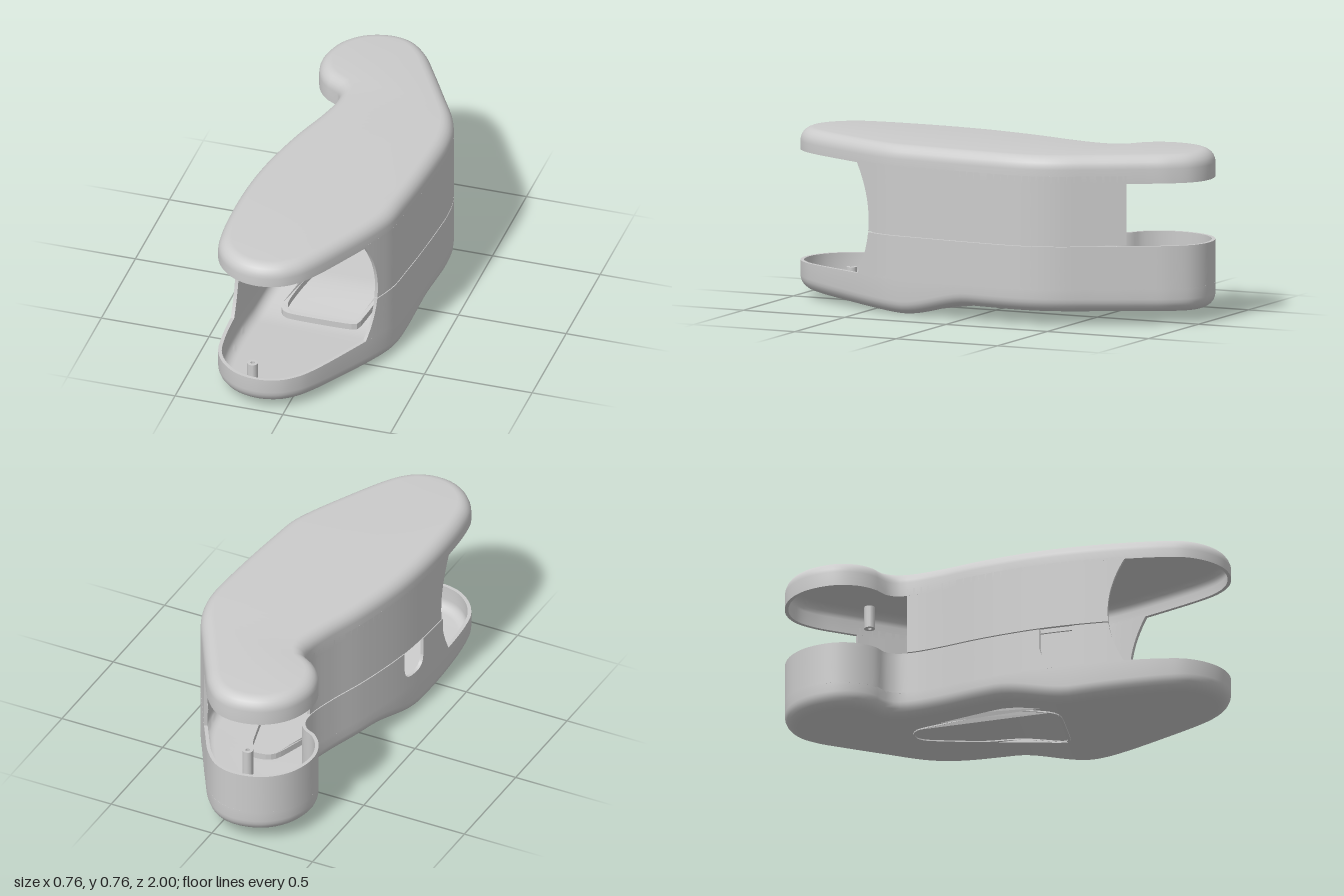
import * as THREE from 'three';
import { toCreasedNormals } from 'three/addons/utils/BufferGeometryUtils.js';

const T = 0.016; // wall thickness
const material = new THREE.MeshStandardMaterial({ color: 0xcccccc });

// Plan outline (x, z): front tip, left side, round tail, notch, right side
const PLAN = [
  [-0.12, 1], [-0.02, 0.975], [0.05, 0.92], [0.1, 0.85], [0.2, 0.66], [0.285, 0.48], [0.32, 0.38],
  [0.337, 0.25], [0.355, 0.08], [0.37, -0.12], [0.375, -0.24], [0.365, -0.35], [0.33, -0.46],
  [0.24, -0.62], [0.14, -0.79], [0.07, -0.9], [-0.01, -0.975], [-0.11, -1], [-0.24, -0.965],
  [-0.33, -0.875], [-0.368, -0.74], [-0.345, -0.635], [-0.29, -0.565], [-0.235, -0.535],
  [-0.207, -0.49], [-0.205, -0.42], [-0.235, -0.29], [-0.295, -0.1], [-0.35, 0.14], [-0.374, 0.34],
  [-0.38, 0.55], [-0.37, 0.74], [-0.35, 0.84], [-0.3, 0.92], [-0.22, 0.98]];
const outline = new THREE.CatmullRomCurve3(PLAN.map(([x, z]) => new THREE.Vector3(x, 0, z)), true);
const M = 2000;
const samples = outline.getSpacedPoints(M);
const tail = samples.reduce((best, p, i) => (p.z < samples[best].z ? i : best), 0) / M;

// Outline point at fraction u, moved inwards and set to height y
function at(u, inset, y) {
  const f = (((u % 1) + 1) % 1) * M, i = Math.floor(f);
  const p = samples[i].clone().lerp(samples[i + 1], f - i);
  const a = samples[(i + M - 6) % M], b = samples[(i + 7) % M];
  const len = Math.hypot(b.x - a.x, b.z - a.z);
  return [p.x + (b.z - a.z) / len * inset, y, p.z - (b.x - a.x) / len * inset];
}

// Outline fraction at depth z, on the left (+x) or right (-x) side
function uAt(left, z) {
  let near = left ? 0 : 1, far = tail;
  for (let i = 0; i < 30; i++) {
    const mid = (near + far) / 2;
    if (at(mid, 0, 0)[2] > z) near = mid; else far = mid;
  }
  return (near + far) / 2;
}

const underside = (z) => z > 0.32
  ? 0.003 + (z - 0.32) * 0.055
  : 0.003 + 0.062 * (1 - THREE.MathUtils.smoothstep(z, -0.04, 0.32)) - Math.max(0, -z) * 0.01;
const mouthZ = (y) => 0.49 + 0.075 * ((y - 0.41) / 0.25) ** 2; // curved front edge of the walls

function mesh(name, geometry) {
  const m = new THREE.Mesh(geometry, material);
  m.name = name;
  return m;
}

function quadMesh(name, quads, flip) {
  const pos = [];
  for (const [a, b, c, d] of quads) {
    if (flip) pos.push(...a, ...c, ...b, ...a, ...d, ...c);
    else pos.push(...a, ...b, ...c, ...a, ...c, ...d);
  }
  const g = new THREE.BufferGeometry();
  g.setAttribute('position', new THREE.Float32BufferAttribute(pos, 3));
  return mesh(name, toCreasedNormals(g, 0.6));
}

// Hollow tray with a rounded edge; dir is +1 when it opens upwards
function tray(name, baseY, rimY, dir, radius) {
  const n = 90, us = [];
  for (let k = 0; k <= n; k++) us.push(k === 0 ? 0 : k === n ? tail : uAt(true, Math.cos(Math.PI * k / n)));
  for (let k = n - 1; k > 0; k--) us.push(uAt(false, Math.cos(Math.PI * k / n)));
  const rows = [], steps = 6;
  const arc = (inset, r, i) => {
    const a = i / steps * Math.PI / 2;
    const d = inset + r * (1 - Math.sin(a)), h = inset + r * (1 - Math.cos(a));
    return us.map((u) => {
      const p = at(u, d, 0);
      p[1] = baseY(p[2]) + dir * h;
      return p;
    });
  };
  for (let i = 0; i <= steps; i++) rows.push(arc(0, radius, i));
  for (const d of [0, T]) rows.push(us.map((u) => {
    const p = at(u, d, 0);
    p[1] = rimY(p[2]);
    return p;
  }));
  for (let i = steps; i >= 0; i--) rows.push(arc(T, radius - T, i));
  const quads = [], N = us.length;
  for (let i = 0; i < rows.length - 1; i++) for (let j = 0; j < N; j++) {
    const k = (j + 1) % N;
    quads.push([rows[i][j], rows[i][k], rows[i + 1][k], rows[i + 1][j]]);
  }
  // plate outside and inside, bridged from side to side
  const outer = rows[0], inner = rows[rows.length - 1];
  for (let k = 0; k < n; k++) {
    const l = (N - k) % N, m = N - k - 1;
    quads.push([outer[l], outer[m], outer[k + 1], outer[k]]);
    quads.push([inner[k], inner[k + 1], inner[m], inner[l]]);
  }
  return quadMesh(name, quads, dir < 0);
}

// Upright wall along the outline, from uA(y) to uB(y)
function wall(name, uA, uB, yLow, yTop, cols, inset = 0, thick = T) {
  const rowsN = 12, grid = [], quads = [];
  for (let j = 0; j <= cols; j++) {
    const t = j / cols, out = [], inn = [];
    for (let i = 0; i <= rowsN; i++) {
      const y = THREE.MathUtils.lerp(yLow, yTop(t), i / rowsN);
      const u = THREE.MathUtils.lerp(uA(y), uB(y), t);
      out.push(at(u, inset, y));
      inn.push(at(u, inset + thick, y));
    }
    grid.push([...out, ...inn.reverse()]);
  }
  const L = 2 * rowsN + 2;
  for (let j = 0; j < cols; j++) for (let i = 0; i < L; i++) {
    const k = (i + 1) % L;
    quads.push([grid[j][i], grid[j + 1][i], grid[j + 1][k], grid[j][k]]);
  }
  for (let i = 0; i < rowsN; i++) {
    const [a, b] = [grid[0], grid[cols]];
    quads.push([a[L - 1 - i], a[i], a[i + 1], a[L - 2 - i]]);
    quads.push([b[i], b[L - 1 - i], b[L - 2 - i], b[i + 1]]);
  }
  return quadMesh(name, quads);
}

// Ring around the hatch, draped along the underside
const HATCH = [[0.11, 0.2], [0.08, 0.25], [-0.17, 0.25], [-0.21, 0.21], [-0.19, 0.1], [-0.05, -0.38],
  [-0.01, -0.44], [0.05, -0.45], [0.09, -0.4], [0.15, -0.16], [0.15, 0]];
function hatchRing(name, grow, width, y0, y1) {
  const loop = (g) => new THREE.CatmullRomCurve3(HATCH.map(([x, z]) =>
    new THREE.Vector3(-0.01 + (x + 0.01) * (1 + g * 6), -0.1 + (z + 0.1) * (1 + g * 3), 0)), true, 'catmullrom', 0.3)
    .getSpacedPoints(80).slice(0, -1).map((p) => new THREE.Vector2(p.x, p.y));
  const shape = new THREE.Shape(loop(grow));
  shape.holes.push(new THREE.Path(loop(grow - width)));
  const g = new THREE.ExtrudeGeometry(shape, { depth: y1 - y0, bevelEnabled: false });
  g.rotateX(Math.PI / 2).translate(0, y1, 0);
  const p = g.attributes.position;
  for (let i = 0; i < p.count; i++) p.setY(i, p.getY(i) + underside(p.getZ(i)));
  g.computeVertexNormals();
  return mesh(name, g);
}

// Hollow screw post
function post(name, x, z, y0, y1) {
  const profile = [[0.01, y0], [0.024, y0], [0.024, y1], [0.01, y1], [0.01, y0]];
  const g = new THREE.LatheGeometry(profile.map(([r, y]) => new THREE.Vector2(r, y)), 24);
  const m = mesh(name, toCreasedNormals(g, 0.6));
  m.position.set(x, 0, z);
  return m;
}

export function createModel() {
  const group = new THREE.Group();
  group.name = 'deviceHousing';
  const fixed = (left, z) => { const u = uAt(left, z); return () => u; };
  const mouth = (left) => (y) => uAt(left, mouthZ(y));
  const upper = () => 0.67, seam = () => 0.355;

  // Upper shell
  group.add(tray('topCover', () => 0.76, (z) => (z > 0 ? 0.66 : 0.635), -1, 0.06));
  group.add(wall('upperLeftWall', mouth(true), fixed(true, -0.73), 0.36, upper, 60));
  group.add(wall('upperRightWall', fixed(false, -0.44), mouth(false), 0.36, upper, 50));
  // Lips that bridge the seam
  group.add(wall('leftLip', fixed(true, 0.485), fixed(true, -0.62), 0.34, () => 0.38, 50, T - 0.001, 0.009));
  group.add(wall('rightLip', fixed(false, -0.43), fixed(false, 0.485), 0.34, () => 0.38, 50, T - 0.001, 0.009));

  // Lower shell, with a round-bottomed slot in the right wall
  group.add(tray('bottomTray', underside, () => 0.165, 1, 0.06));
  group.add(wall('lowerWall', mouth(true), fixed(false, 0.18), 0.16, seam, 150));
  group.add(wall('slotSill', fixed(false, 0.18), fixed(false, 0.33), 0.16,
    (t) => 0.265 - 0.055 * Math.sqrt(Math.max(0, 1 - Math.abs(2 * t - 1) ** 3)), 24));
  group.add(wall('lowerFrontRightWall', fixed(false, 0.33), mouth(false), 0.16, seam, 16));

  // Hatch on the underside and its rib on the floor
  group.add(hatchRing('hatchRim', 0, 0.012, -0.006, 0.01));
  group.add(hatchRing('hatchRib', 0.03, 0.02, 0.01, 0.045));

  // Screw posts
  group.add(post('tailPost', 0.02, -0.61, 0.07, 0.205));
  group.add(post('frontPost', -0.2, 0.81, 0.04, 0.12));
  group.add(post('topPost', 0.12, -0.66, 0.64, 0.75));
  return group;
}
